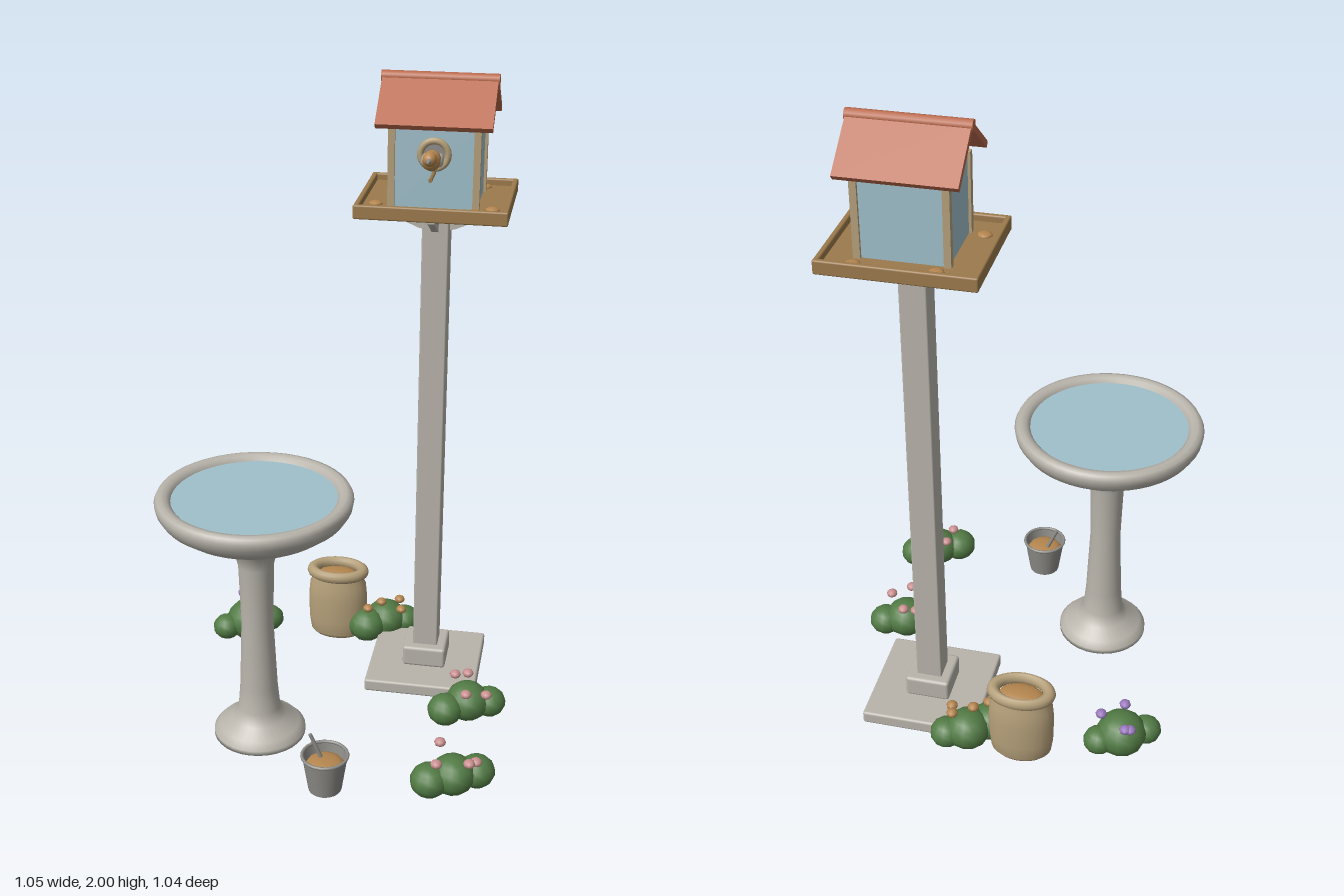
import * as THREE from 'three';
import { RoundedBoxGeometry } from 'three/addons/geometries/RoundedBoxGeometry.js';

const paint = (name, color, extra = {}) => {
  const m = new THREE.MeshStandardMaterial({ color, ...extra });
  m.name = name;
  return m;
};

export function createModel() {
  const stone = paint('stone', 0xb8b4ab);
  const blue = paint('paleBlue', 0xa0c0cb);
  const terracotta = paint('terracotta', 0xb9694a);
  const wood = paint('wood', 0x9c7a4c);
  const seed = paint('seed', 0xb5864f);
  const green = paint('leafGreen', 0x527b45);
  const pink = paint('pink', 0xcb9090);
  const purple = paint('purple', 0x9a78bd);
  const sacking = paint('sacking', 0xb5a07a);
  const zinc = paint('zinc', 0x8e8d89, { side: THREE.DoubleSide });

  const model = new THREE.Group();
  const group = (name, x, y, z, parent = model) => {
    const g = new THREE.Group();
    g.name = name;
    g.position.set(x, y, z);
    parent.add(g);
    return g;
  };
  const add = (parent, name, geo, mat, x = 0, y = 0, z = 0) => {
    const m = new THREE.Mesh(geo, mat);
    m.name = name;
    m.position.set(x, y, z);
    parent.add(m);
    return m;
  };
  const box = (w, h, d) => new THREE.BoxGeometry(w, h, d);
  const lathe = (pts, n = 32) => new THREE.LatheGeometry(pts.map(([r, y]) => new THREE.Vector2(r, y)), n);

  // Post with stepped base
  const table = group('feederTable', 0.238, 0, -0.262);
  add(table, 'baseSlab', new RoundedBoxGeometry(0.36, 0.042, 0.36, 2, 0.008), stone, 0, 0.029, 0);
  add(table, 'baseBlock', new RoundedBoxGeometry(0.14, 0.07, 0.14, 2, 0.01), stone, 0, 0.085, 0);
  add(table, 'post', new RoundedBoxGeometry(0.08, 1.52, 0.08, 2, 0.005), stone, 0, 0.86, 0);

  // Four triangular brackets under the tray
  const gusset = new THREE.Shape([[0.03, 1.61], [0.03, 1.535], [0.055, 1.54], [0.18, 1.595], [0.18, 1.61]]
    .map(([x, y]) => new THREE.Vector2(x, y)));
  const gussetGeo = new THREE.ExtrudeGeometry(gusset, { depth: 0.02, bevelEnabled: false }).translate(0, 0, -0.01);
  for (let i = 0; i < 4; i++) {
    const b = add(table, 'bracket', gussetGeo, stone);
    b.rotation.y = i * Math.PI / 2;
    if (i % 2) b.scale.x = 0.84;
  }

  // Tray, rails and scattered seed
  add(table, 'trayFloor', box(0.43, 0.02, 0.36), wood, 0, 1.62, 0);
  for (const s of [-1, 1]) {
    add(table, 'trayRail', new RoundedBoxGeometry(0.445, 0.042, 0.016, 2, 0.005), wood, 0, 1.629, s * 0.177);
    add(table, 'trayRail', new RoundedBoxGeometry(0.016, 0.042, 0.37, 2, 0.005), wood, s * 0.214, 1.629, 0);
  }
  for (const [x, z] of [[0.125, -0.145], [0.12, 0.135], [-0.17, 0.09], [0.17, 0.1], [-0.1, -0.14]]) {
    add(table, 'seedPile', new THREE.SphereGeometry(0.022, 8, 6), seed, x, 1.631, z).scale.y = 0.4;
  }

  // House box with corner trims
  const house = group('birdHouse', 0, 1.63, 0, table);
  add(house, 'walls', box(0.25, 0.238, 0.21), blue, 0, 0.119, 0);
  for (const x of [-1, 1]) for (const z of [-1, 1]) {
    add(house, 'cornerTrim', box(0.02, 0.236, 0.02), sacking, x * 0.123, 0.118, z * 0.104);
  }
  add(house, 'entranceRing', new THREE.TorusGeometry(0.04, 0.01, 8, 24), sacking, 0, 0.157, 0.108);
  add(house, 'entranceHole', new THREE.CircleGeometry(0.038, 24), zinc, 0, 0.157, 0.1075);
  add(house, 'perch', new THREE.CylinderGeometry(0.006, 0.006, 0.09, 8).rotateX(Math.PI / 2), wood, 0, 0.103, 0.145);

  // Pitched roof with ridge cap
  const pitch = 0.67;
  for (const s of [-1, 1]) {
    add(house, 'roofSlope', box(0.333, 0.018, 0.184), terracotta, 0, 0.297, s * 0.071).rotation.x = s * pitch;
  }
  add(house, 'ridgeCap', new THREE.CylinderGeometry(0.017, 0.017, 0.34, 12).rotateZ(Math.PI / 2), terracotta, 0, 0.353, 0);

  // Bird on the perch
  const bird = group('bird', 0, 1.785, 0.165, table);
  add(bird, 'body', new THREE.SphereGeometry(0.03, 16, 12), seed).scale.set(0.9, 0.95, 1.35);
  add(bird, 'head', new THREE.SphereGeometry(0.021, 16, 12), seed, 0, 0.015, 0.045).scale.z = 1.25;
  add(bird, 'beak', new THREE.ConeGeometry(0.009, 0.034, 8).rotateX(Math.PI / 2), zinc, 0, 0.015, 0.081);
  for (const s of [-1, 1]) {
    add(bird, 'wing', new THREE.SphereGeometry(0.022, 12, 10), stone, s * 0.021, -0.004, -0.018).scale.set(0.5, 0.85, 1.4);
  }

  // Bird bath
  const bath = group('birdBath', -0.23, 0, 0.182);
  add(bath, 'pedestal', lathe([[0, 0.005], [0.143, 0.005], [0.143, 0.02], [0.125, 0.04], [0.085, 0.065], [0.065, 0.1],
    [0.058, 0.18], [0.049, 0.4], [0.054, 0.6], [0.066, 0.65], [0.115, 0.715]]), stone);
  add(bath, 'bowl', lathe([[0, 0.714], [0.178, 0.714]], 48), stone);
  add(bath, 'bowlSide', lathe([[0.178, 0.714], [0.235, 0.745], [0.275, 0.775], [0.291, 0.8], [0.295, 0.822],
    [0.288, 0.836], [0.274, 0.841], [0.258, 0.837], [0.247, 0.826], [0.243, 0.81]], 48), stone);
  add(bath, 'water', new THREE.CircleGeometry(0.248, 48).rotateX(-Math.PI / 2), blue, 0, 0.824, 0);

  // Seed bucket with scoop handle
  const bucket = group('bucket', 0.028, 0, 0.442);
  add(bucket, 'bucketWall', lathe([[0, 0.008], [0.05, 0.008], [0.05, 0.008], [0.068, 0.125]], 24), zinc);
  add(bucket, 'bucketRim', new THREE.TorusGeometry(0.068, 0.005, 8, 24).rotateX(Math.PI / 2), zinc, 0, 0.125, 0);
  add(bucket, 'bucketSeed', new THREE.SphereGeometry(0.058, 12, 8), seed, 0, 0.093, 0).scale.y = 0.3;
  const scoop = add(bucket, 'scoopHandle', new THREE.CylinderGeometry(0.006, 0.006, 0.09, 8), zinc, -0.029, 0.143, -0.012);
  scoop.rotation.z = 0.4;

  // Open seed sack, oval in plan
  const sack = group('seedSack', -0.093, 0, -0.437);
  sack.scale.z = 0.67;
  add(sack, 'sackBody', lathe([[0, 0.008], [0.08, 0.008], [0.093, 0.022], [0.1, 0.07], [0.102, 0.15],
    [0.097, 0.2], [0.086, 0.225], [0.084, 0.25]], 24), sacking);
  add(sack, 'rolledRim', new THREE.TorusGeometry(0.086, 0.02, 10, 32).rotateX(Math.PI / 2), sacking, 0, 0.247, 0);
  add(sack, 'sackSeed', new THREE.SphereGeometry(0.072, 12, 8), seed, 0, 0.232, 0).scale.y = 0.25;

  // Bushes: blobs are [x, y, z, radius], flowers are [x, y, z]
  const bushes = [
    { flower: purple,
      blobs: [[-0.46, 0.056, -0.317, 0.048], [-0.39, 0.068, -0.36, 0.078], [-0.327, 0.058, -0.396, 0.048]],
      flowers: [[-0.425, 0.137, -0.413], [-0.41, 0.14, -0.418], [-0.325, 0.125, -0.352], [-0.39, 0.13, -0.3]] },
    { flower: pink,
      blobs: [[0.34, 0.064, 0.057, 0.056], [0.405, 0.07, 0.005, 0.07], [0.472, 0.062, -0.015, 0.053]],
      flowers: [[0.36, 0.138, -0.035], [0.4, 0.142, -0.042], [0.467, 0.125, 0.046], [0.406, 0.14, 0.077]] },
    { flower: pink,
      blobs: [[0.337, 0.064, 0.425, 0.058], [0.403, 0.07, 0.393, 0.068], [0.47, 0.064, 0.356, 0.056]],
      flowers: [[0.357, 0.14, 0.338], [0.357, 0.125, 0.428], [0.453, 0.135, 0.423], [0.471, 0.125, 0.397]] },
    { flower: seed,
      blobs: [[0.015, 0.066, -0.4, 0.064], [0.073, 0.07, -0.45, 0.07], [0.135, 0.06, -0.47, 0.052]],
      flowers: [[0.118, 0.138, -0.465], [0.06, 0.142, -0.43], [0.13, 0.125, -0.42], [0.02, 0.135, -0.39]] },
  ];
  for (const { flower, blobs, flowers } of bushes) {
    const bush = group('bush', 0, 0, 0);
    for (const [x, y, z, r] of blobs) {
      add(bush, 'foliage', new THREE.SphereGeometry(r, 12, 9), green, x, y, z).scale.y = 0.88;
    }
    for (const [x, y, z] of flowers) add(bush, 'flower', new THREE.SphereGeometry(0.018, 8, 6), flower, x, y, z).scale.y = 0.75;
  }

  return model;
}
